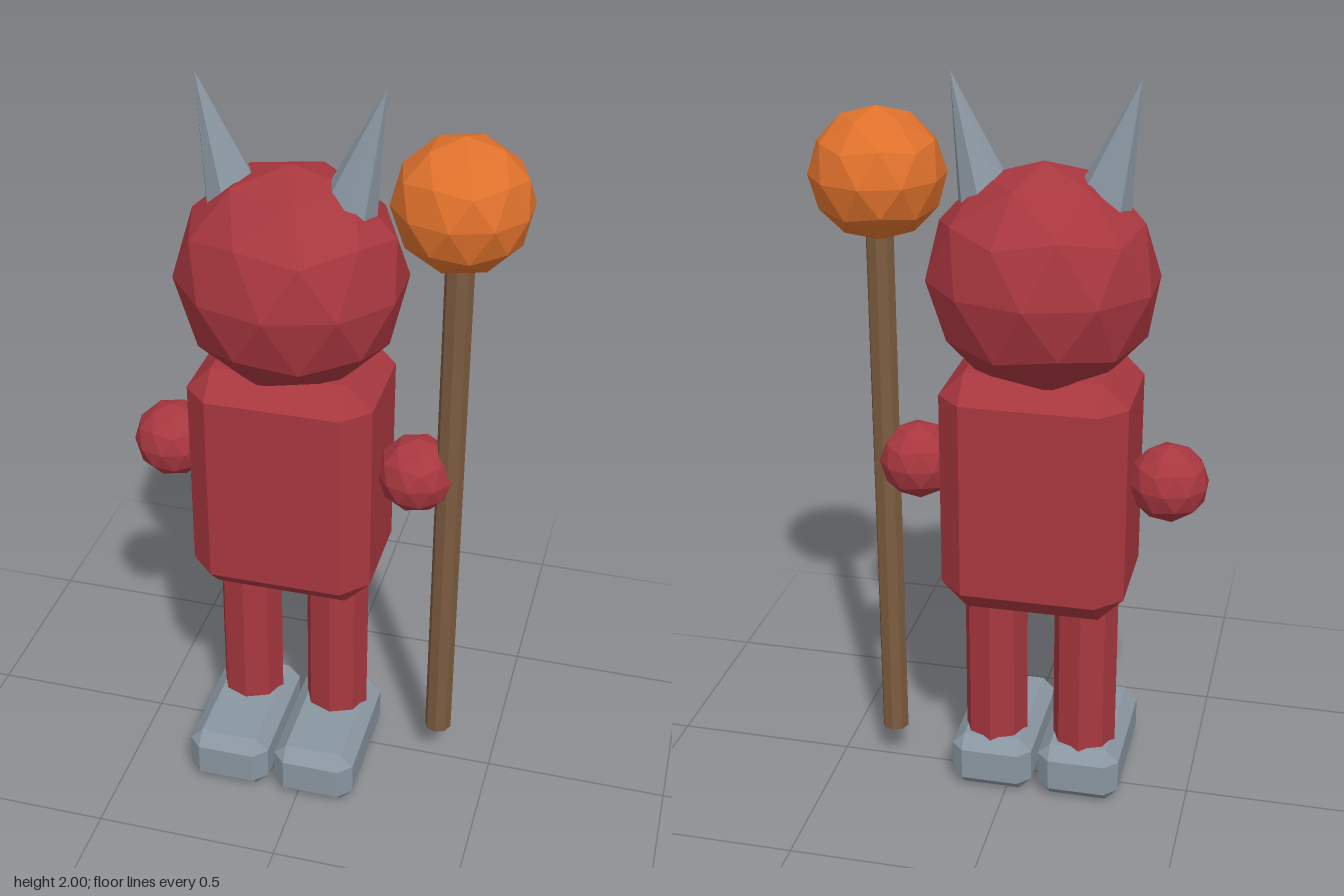
import * as THREE from 'three';
import { ConvexGeometry } from 'three/addons/geometries/ConvexGeometry.js';

const CX = -0.08; // middle of the figure
const CZ = -0.008;

const material = (name, color) => {
  const m = new THREE.MeshStandardMaterial({ color, flatShading: true });
  m.name = name;
  return m;
};

// Box with every edge and corner cut flat by c
function chamferBox(w, h, d, c) {
  const points = [];
  for (const sx of [-1, 1]) for (const sy of [-1, 1]) for (const sz of [-1, 1]) {
    const x = w / 2, y = h / 2, z = d / 2;
    points.push(
      new THREE.Vector3(sx * x, sy * (y - c), sz * (z - c)),
      new THREE.Vector3(sx * (x - c), sy * y, sz * (z - c)),
      new THREE.Vector3(sx * (x - c), sy * (y - c), sz * z));
  }
  return new ConvexGeometry(points);
}

// Faceted ball with one corner straight up
function ball(rx, ry, rz) {
  const g = new THREE.IcosahedronGeometry(1, 1);
  g.rotateZ(-Math.atan2(1, (1 + Math.sqrt(5)) / 2));
  g.scale(rx, ry, rz);
  return g;
}

export function createModel() {
  const model = new THREE.Group();
  model.name = 'hornedFigure';
  const red = material('red', 0xa8373f);
  const grey = material('steel grey', 0x8a96a1);
  const orange = material('orange', 0xdf712c);
  const brown = material('wood brown', 0x7d5b3f);

  const add = (name, geometry, mat, x, y, z) => {
    const mesh = new THREE.Mesh(geometry, mat);
    mesh.name = name;
    mesh.position.set(x, y, z);
    model.add(mesh);
    return mesh;
  };

  // Body and head
  add('body', chamferBox(0.49, 0.67, 0.39, 0.067), red, CX, 0.935, CZ);
  add('head', ball(0.3, 0.3, 0.272), red, CX, 1.49, CZ);

  // Paired parts
  for (const [side, s] of [['right', -1], ['left', 1]]) {
    add(side + 'Leg', new THREE.CylinderGeometry(0.0875, 0.0875, 0.55, 8), red, CX + s * 0.125, 0.375, CZ);
    add(side + 'Foot', chamferBox(0.227, 0.16, 0.403, 0.035), grey, CX + s * 0.123, 0.08, 0.08);
    add(side + 'Hand', ball(0.105, 0.105, 0.105), red, CX + s * 0.336, 0.96, CZ);

    // Horn leaning outward, pivoted at its tip
    const horn = new THREE.ConeGeometry(0.083, 0.36, 8);
    horn.translate(0, -0.18, 0);
    add(side + 'Horn', horn, grey, CX + s * 0.235, 2, CZ).rotation.z = -s * 0.28;
  }

  // Staff with its round top
  add('staffPole', new THREE.CylinderGeometry(0.037, 0.037, 1.53, 8), brown, 0.345, 0.875, CZ);
  add('staffBall', ball(0.175, 0.17, 0.175), orange, 0.345, 1.735, CZ);

  return model;
}
